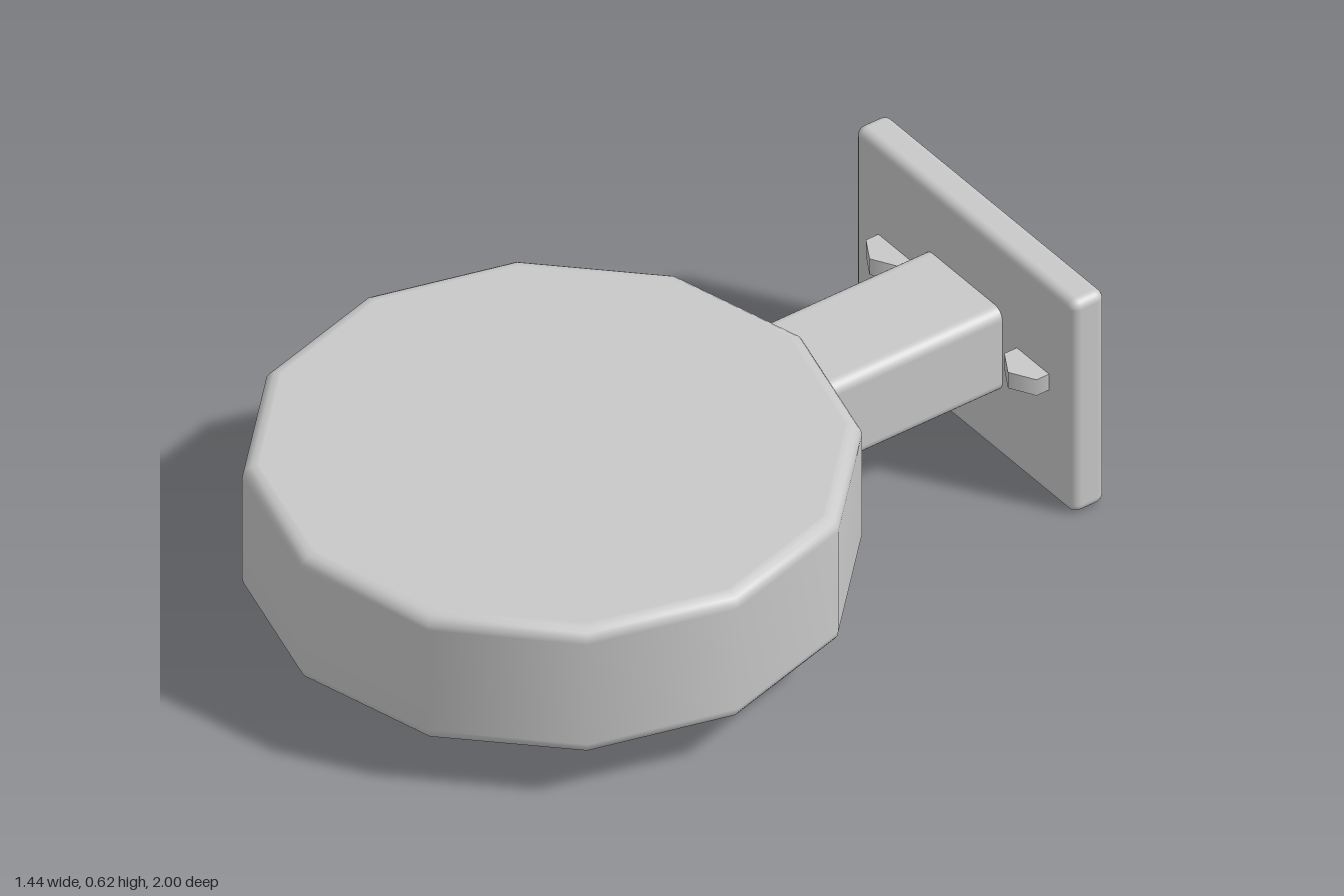
import * as THREE from 'three';
import { RoundedBoxGeometry } from 'three/addons/geometries/RoundedBoxGeometry.js';

export function createModel() {
  const model = new THREE.Group();
  const grey = new THREE.MeshStandardMaterial({ color: 0xc8c8c8 });
  grey.name = 'grey';

  const add = (name, geometry, x, y, z) => {
    const mesh = new THREE.Mesh(geometry, grey);
    mesh.name = name;
    mesh.position.set(x, y, z);
    model.add(mesh);
  };

  // Twelve-sided drum with rounded rims; extra loops keep the caps flat
  const radius = 0.72, half = 0.18, bevel = 0.035, steps = 4;
  const profile = [new THREE.Vector2(0, -half), new THREE.Vector2(radius - bevel - 0.003, -half)];
  for (const side of [-1, 1]) {
    for (let i = 0; i <= steps; i++) {
      const t = (side < 0 ? i - steps : i) / steps * Math.PI / 2;
      profile.push(new THREE.Vector2(
        radius - bevel + bevel * Math.cos(t),
        side * (half - bevel) + bevel * Math.sin(t)));
    }
  }
  profile.push(new THREE.Vector2(radius - bevel - 0.003, half), new THREE.Vector2(0, half));
  add('drum', new THREE.LatheGeometry(profile, 12), 0, 0.31, 0.277);

  // Neck joining the drum to the wall plate
  add('neck', new RoundedBoxGeometry(0.3, 0.24, 0.56, 3, 0.03), 0, 0.31, -0.67);

  // Wall plate
  add('wallPlate', new RoundedBoxGeometry(0.85, 0.615, 0.094, 3, 0.024), 0, 0.3075, -0.953);

  // Hexagonal lugs, half sunk into the plate
  for (const side of [-1, 1]) {
    add(side > 0 ? 'leftLug' : 'rightLug',
      new THREE.CylinderGeometry(0.072, 0.072, 0.046, 6), side * 0.268, 0.334, -0.906);
  }
  return model;
}
